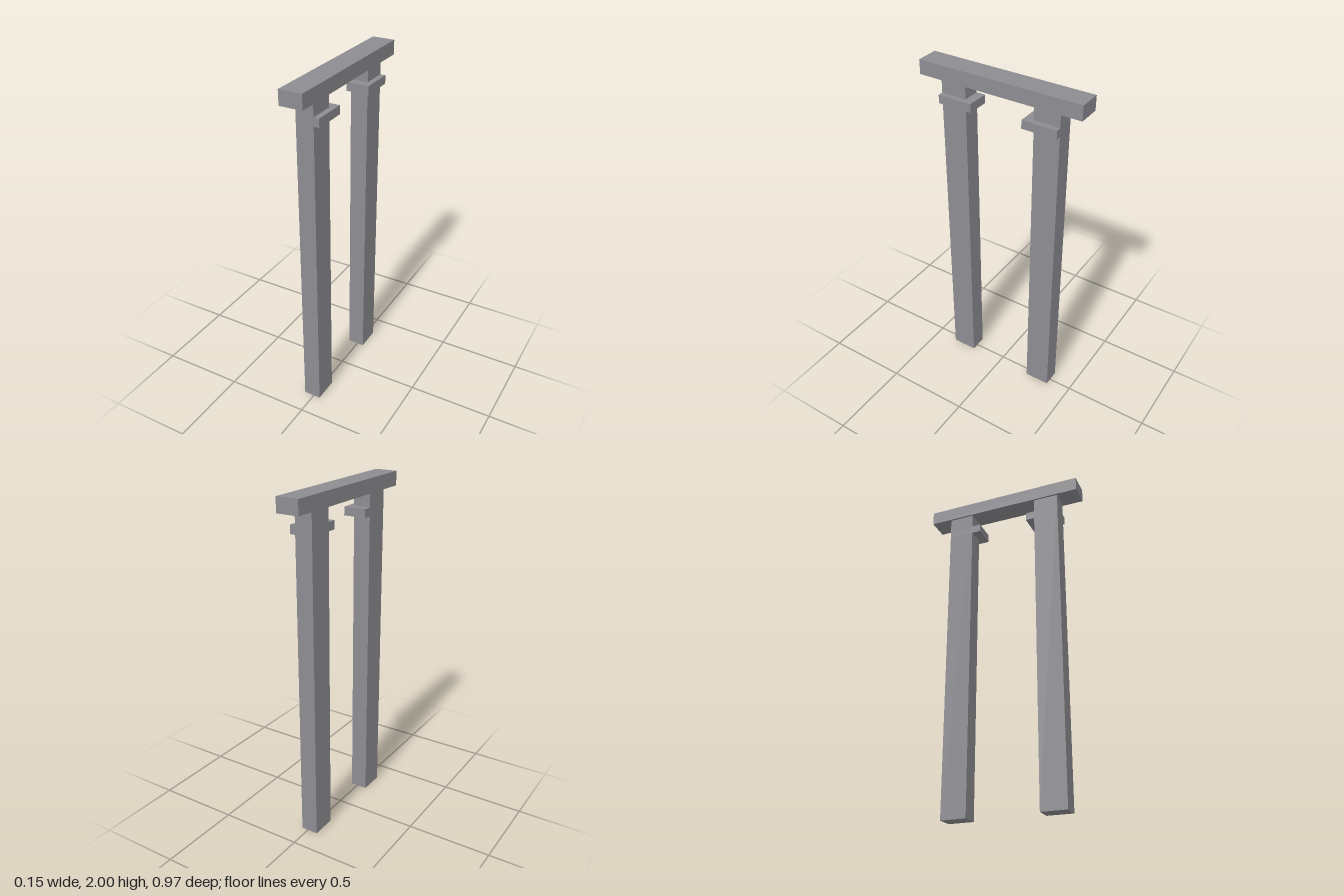
import * as THREE from 'three';

const material = new THREE.MeshStandardMaterial({ color: 0x8d8c91, flatShading: true });

// Box given by its lower and upper corners
function block(name, [x0, y0, z0], [x1, y1, z1]) {
  const mesh = new THREE.Mesh(new THREE.BoxGeometry(x1 - x0, y1 - y0, z1 - z0), material);
  mesh.position.set((x0 + x1) / 2, (y0 + y1) / 2, (z0 + z1) / 2);
  mesh.name = name;
  return mesh;
}

export function createModel() {
  const model = new THREE.Group();
  model.name = 'doorFrame';

  // Lintel across the top
  model.add(block('lintel', [-0.073, 1.917, -0.485], [0.06, 2, 0.485]));

  // Two posts, each with a ledge that juts out to the side and inward
  for (const [name, s] of [['front', 1], ['back', -1]]) {
    const span = (a, b) => (s > 0 ? [a, b] : [-b, -a]);
    const [p0, p1] = span(0.208, 0.359);
    const [l0, l1] = span(0.155, 0.359);
    model.add(block(name + 'Post', [-0.062, 0, p0], [0.041, 1.917, p1]));
    model.add(block(name + 'Ledge', [-0.062, 1.787, l0], [0.073, 1.836, l1]));
  }
  return model;
}
